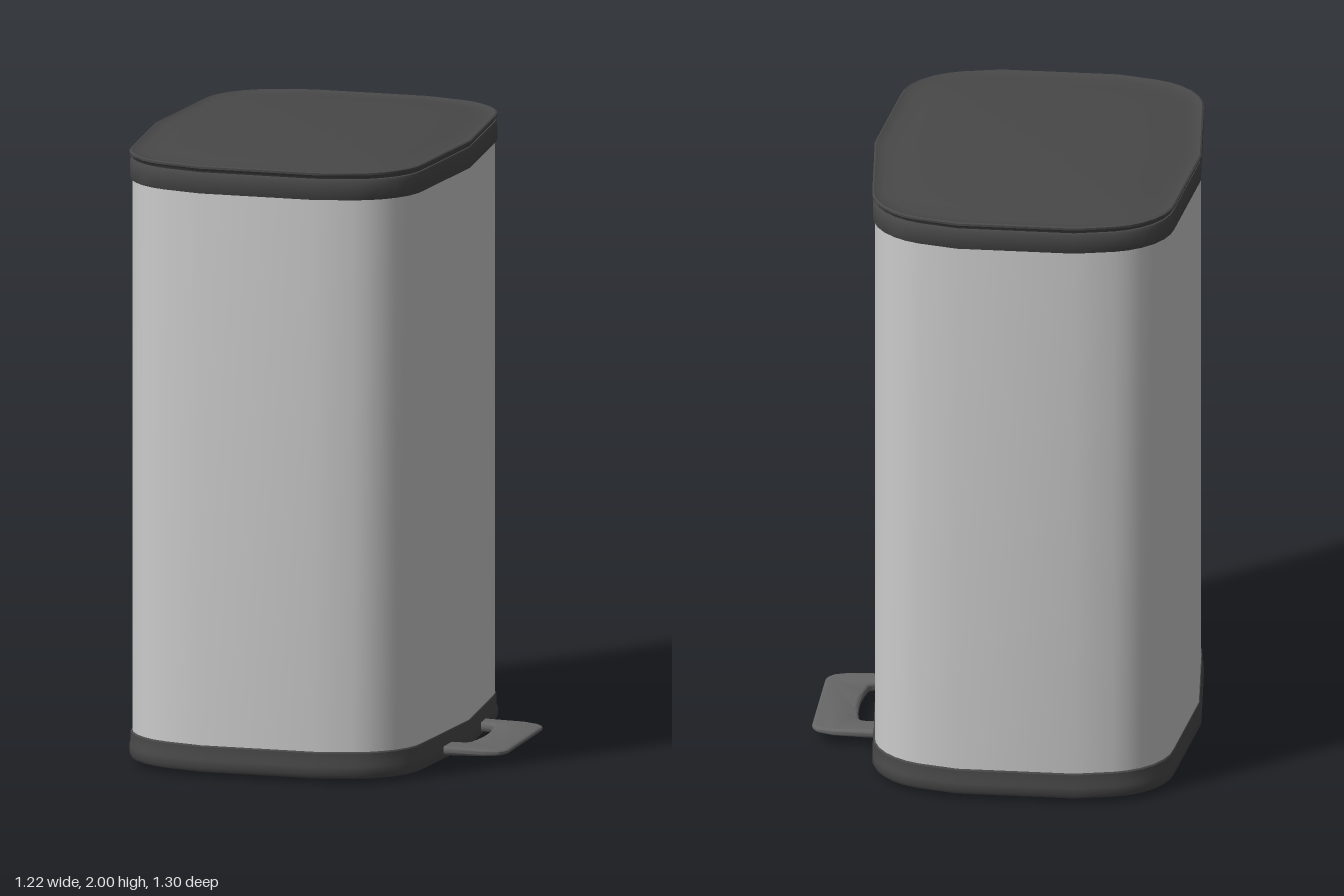
import * as THREE from 'three';
import { toCreasedNormals } from 'three/addons/utils/BufferGeometryUtils.js';

const CX = -0.09;

// One quarter of the rounded, slightly bowed footprint
const quarter = [
  [0.523, 0], [0.486, 0.4], [0.479, 0.45], [0.462, 0.496], [0.435, 0.538],
  [0.4, 0.573], [0.36, 0.6], [0.315, 0.618], [0.19, 0.648],
];
const flipX = quarter.slice().reverse().map(([x, z]) => [-x, z]);
const half = [...quarter, ...flipX];
const outline = [...half, ...half.slice(1, -1).reverse().map(([x, z]) => [x, -z])];

// Loft the footprint through rings of [scale, height], listed so the outside faces out
function loft(rings, crease = 0.6) {
  const n = outline.length, pos = [], idx = [];
  for (const [s, y] of rings) for (const [x, z] of outline) pos.push(CX + x * s, y, z * s);
  for (let j = 0; j < rings.length - 1; j++) {
    for (let i = 0; i < n; i++) {
      const a = j * n + i, b = j * n + (i + 1) % n;
      if (rings[j][0] > 0) idx.push(a, a + n, b);
      if (rings[j + 1][0] > 0) idx.push(b, a + n, b + n);
    }
  }
  const g = new THREE.BufferGeometry();
  g.setAttribute('position', new THREE.Float32BufferAttribute(pos, 3));
  g.setIndex(idx);
  return toCreasedNormals(g, crease);
}

// Flat pedal loop, bevelled and thinned towards its tip
function pedalGeometry() {
  const s = new THREE.Shape();
  s.moveTo(0.36, -0.24);
  s.lineTo(0.54, -0.24);
  s.lineTo(0.588, -0.227);
  s.quadraticCurveTo(0.612, -0.205, 0.612, -0.18);
  s.lineTo(0.612, 0.19);
  s.quadraticCurveTo(0.612, 0.215, 0.588, 0.235);
  s.lineTo(0.54, 0.249);
  s.lineTo(0.36, 0.249);
  s.lineTo(0.36, 0.163);
  s.lineTo(0.445, 0.163);
  s.quadraticCurveTo(0.464, 0.16, 0.468, 0.135);
  s.quadraticCurveTo(0.492, 0.005, 0.468, -0.12);
  s.quadraticCurveTo(0.464, -0.145, 0.445, -0.147);
  s.lineTo(0.36, -0.147);
  s.closePath();
  const g = new THREE.ExtrudeGeometry(s, {
    depth: 0.01, bevelEnabled: true, bevelThickness: 0.011, bevelSize: 0.014,
    bevelOffset: -0.014, bevelSegments: 3, curveSegments: 6,
  });
  g.translate(0, 0, -0.005);
  g.rotateX(-Math.PI / 2);
  const p = g.attributes.position;
  for (let i = 0; i < p.count; i++) {
    const t = THREE.MathUtils.clamp((p.getX(i) - 0.45) / 0.16, 0, 1);
    p.setY(i, 0.045 + p.getY(i) * (1 - 0.5 * t));
  }
  return toCreasedNormals(g, 0.7);
}

export function createModel() {
  const model = new THREE.Group();
  const steel = new THREE.MeshStandardMaterial({ color: 0xcccccc });
  const plastic = new THREE.MeshStandardMaterial({ color: 0x484848 });
  const pedalGrey = new THREE.MeshStandardMaterial({ color: 0x666666 });
  const add = (name, geometry, material) => {
    const m = new THREE.Mesh(geometry, material);
    m.name = name;
    model.add(m);
  };

  // Base tray with a shallow crowned underside
  add('base', loft([
    [0, 0], [0.35, 0.002], [0.75, 0.005], [0.93, 0.009], [0.965, 0.012], [0.99, 0.018],
    [1, 0.03], [1, 0.055], [0.993, 0.07], [0.993, 0.098], [0.988, 0.102], [0.96, 0.102],
  ]), plastic);

  // Tall wall of the bin
  add('body', loft([[0.984, 0.095], [0.984, 1.9]]), steel);

  // Collar band under the lid
  add('collar', loft([
    [0.95, 1.894], [0.993, 1.894], [0.997, 1.9], [0.997, 1.95], [0.99, 1.96], [0.96, 1.962],
  ]), plastic);

  // Lid with a thin lip and a gentle dome
  add('lid', loft([
    [0.95, 1.958], [0.985, 1.962], [0.99, 1.97], [1, 1.975], [1, 1.982], [0.99, 1.985],
    [0.965, 1.98], [0.92, 1.98], [0.82, 1.986], [0.68, 1.992], [0.5, 1.997], [0.25, 1.9995], [0, 2],
  ]), plastic);

  // Foot pedal
  add('pedal', pedalGeometry(), pedalGrey);

  return model;
}
